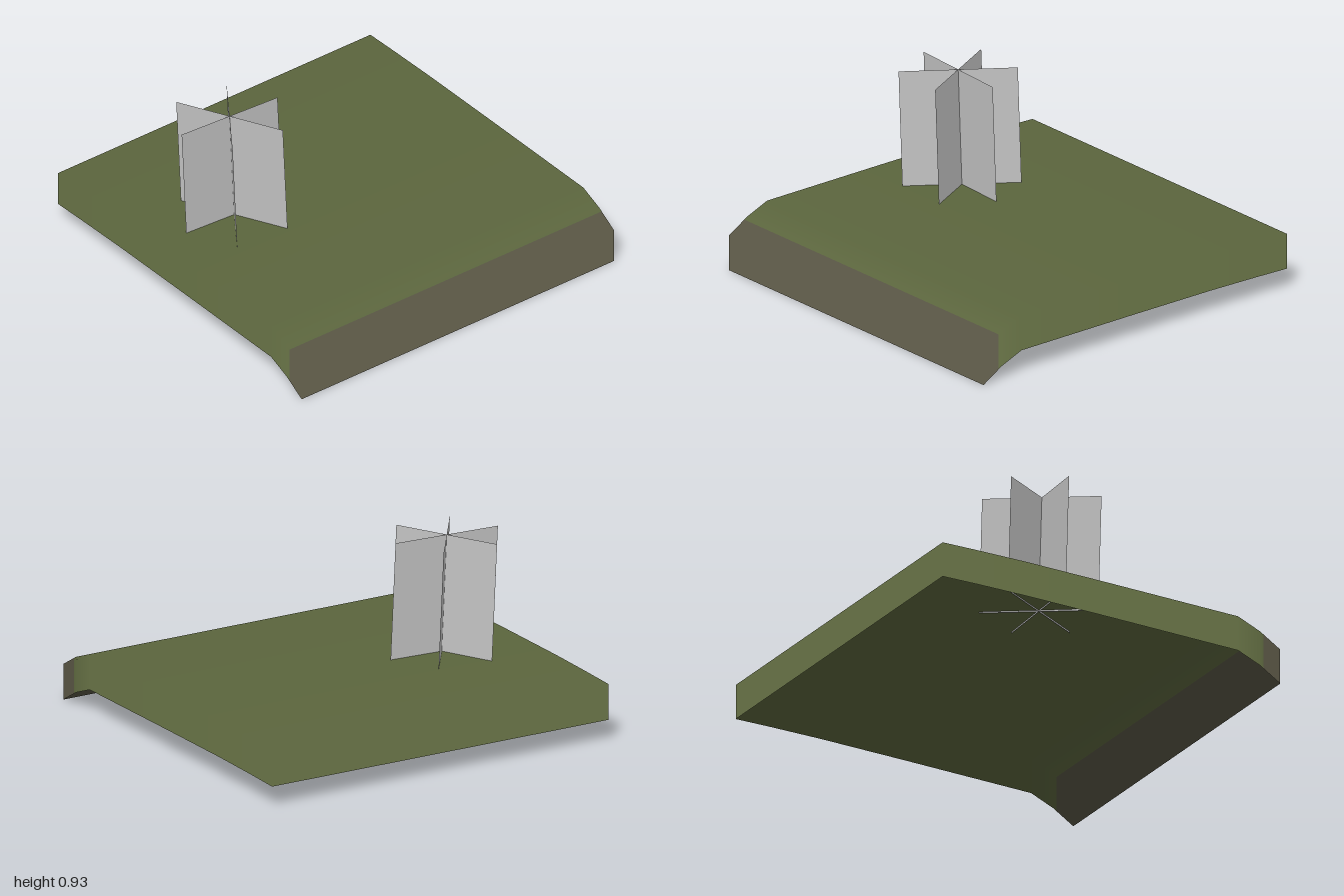
import * as THREE from 'three';

const material = (name, color) =>
  new THREE.MeshStandardMaterial({ name, color, side: THREE.DoubleSide });

// Ground height along x: nearly level, dropping off at the +x edge
const grassProfile = [[-1, 0.3], [-0.8, 0.306], [-0.5, 0.312], [0, 0.314], [0.75, 0.314], [0.88, 0.262], [0.9, 0.25]];
const soilProfile = [[0.9, 0.25], [1, 0.19]];
const SKIRT = 0.19;

// Surface between two rows of points; each point carries the normal of its column
function strip(rowA, rowB, normals) {
  const n = rowA.length;
  const index = [];
  for (let i = 0; i < n - 1; i++) {
    index.push(i, n + i, n + i + 1, i, n + i + 1, i + 1);
  }
  const geometry = new THREE.BufferGeometry();
  geometry.setAttribute('position', new THREE.Float32BufferAttribute([...rowA, ...rowB].flat(), 3));
  geometry.setAttribute('normal', new THREE.Float32BufferAttribute([...normals, ...normals].flat(), 3));
  geometry.setIndex(index);
  return geometry;
}

// Upward normals following the slope of a profile
function slopeNormals(profile) {
  return profile.map((p, i) => {
    const a = profile[Math.max(i - 1, 0)];
    const b = profile[Math.min(i + 1, profile.length - 1)];
    return new THREE.Vector3(a[1] - b[1], b[0] - a[0], 0).normalize().toArray();
  });
}

// Top sheet with front and back skirts, plus one side skirt; open underneath
function groundPart(name, profile, mat, sideX) {
  const group = new THREE.Group();
  group.name = name;
  const add = (part, geometry) => {
    const mesh = new THREE.Mesh(geometry, mat);
    mesh.name = part;
    group.add(mesh);
  };
  const row = (z, drop) => profile.map(([x, y]) => [x, y - drop, z]);
  const normals = slopeNormals(profile);
  add(name + 'Top', strip(row(-1, 0), row(1, 0), normals));
  add(name + 'FrontSkirt', strip(row(1, 0), row(1, SKIRT), normals));
  add(name + 'BackSkirt', strip(row(-1, SKIRT), row(-1, 0), normals));

  const end = sideX > 0 ? profile.length - 1 : 0;
  const y = profile[end][1];
  const side = (drop) => [[sideX, y - drop, sideX], [sideX, y - drop, -sideX]];
  add(name + 'SideSkirt', strip(side(0), side(SKIRT), [normals[end], normals[end]]));
  return group;
}

// Upright blade through the plant's middle, leaning slightly forward
function blade(dx, dz) {
  const row = (y, z) => [-1, 0, 1].map((s) => [-0.147 + s * dx, y, z + s * dz]);
  const geometry = strip(row(0.93, 0.567), row(0.305, 0.537), [[0, 1, 0], [0, 1, 0], [0, 1, 0]]);
  geometry.computeVertexNormals();
  return geometry;
}

export function createModel() {
  const model = new THREE.Group();
  model.name = 'groundTile';
  const grass = material('grass green', 0x5b653d);
  const soil = material('soil brown', 0x575443);
  const pale = material('pale grey', 0xc2c2c2);

  model.add(groundPart('grass', grassProfile, grass, -1));
  model.add(groundPart('soilEdge', soilProfile, soil, 1));

  // Plant made of three crossed blades
  const plant = new THREE.Group();
  plant.name = 'plant';
  for (const [dx, dz] of [[0.265, -0.135], [0.248, 0.173], [0.018, -0.293]]) {
    const mesh = new THREE.Mesh(blade(dx, dz), pale);
    mesh.name = 'plantBlade';
    plant.add(mesh);
  }
  model.add(plant);
  return model;
}
